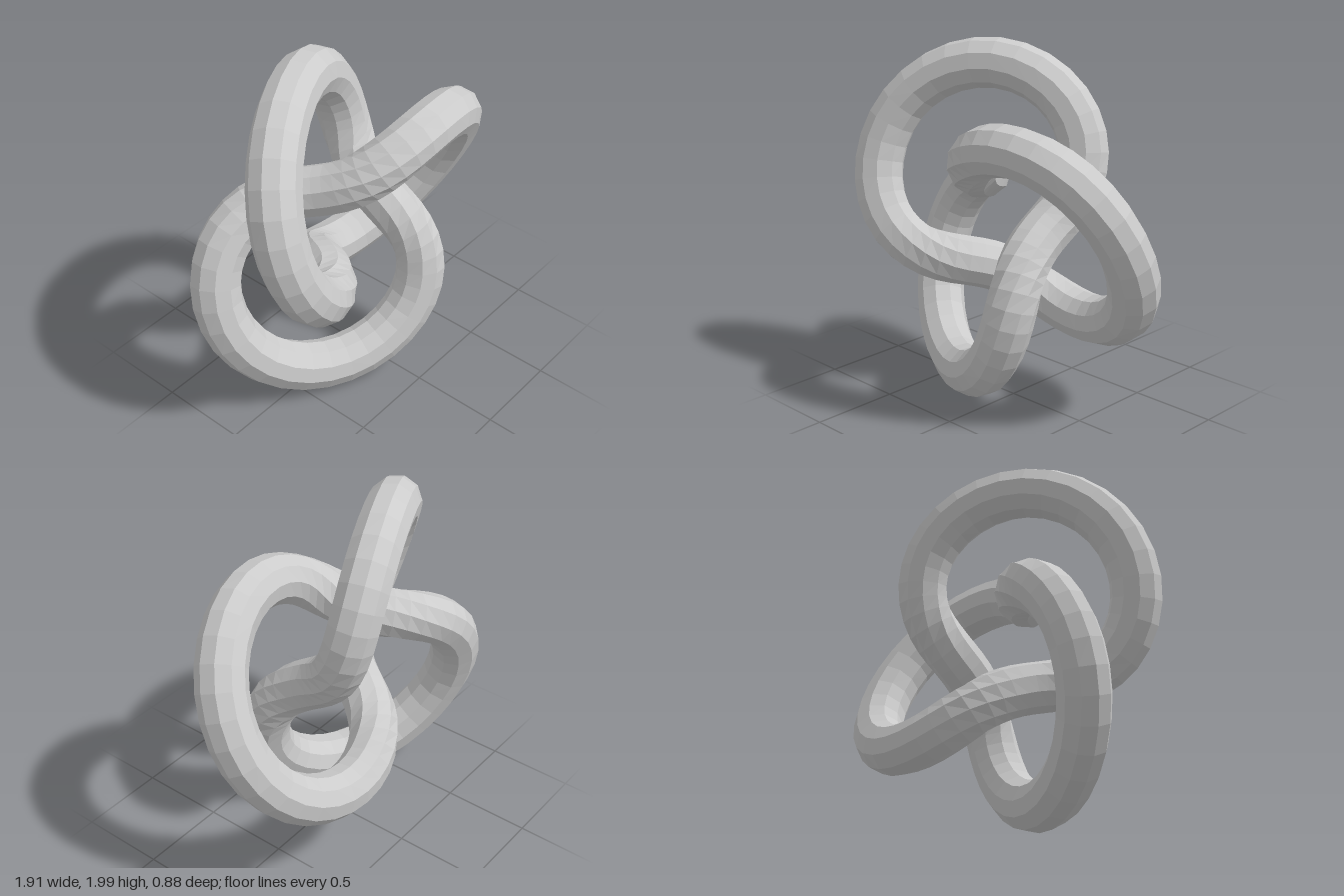
import * as THREE from 'three';

export function createModel() {
  const group = new THREE.Group();
  group.name = 'knotSculpture';

  // Closed trefoil tube: winds twice around the axis, three lobes
  const geometry = new THREE.TorusKnotGeometry(0.608, 0.14, 100, 10, 2, 3);
  const material = new THREE.MeshStandardMaterial({ color: 0xcccccc, flatShading: true });
  const knot = new THREE.Mesh(geometry, material);
  knot.name = 'trefoilTube';

  // One lobe points to +x, so the knot's axis sits left of the centre
  knot.position.set(-0.097, 1, 0);
  group.add(knot);
  return group;
}
